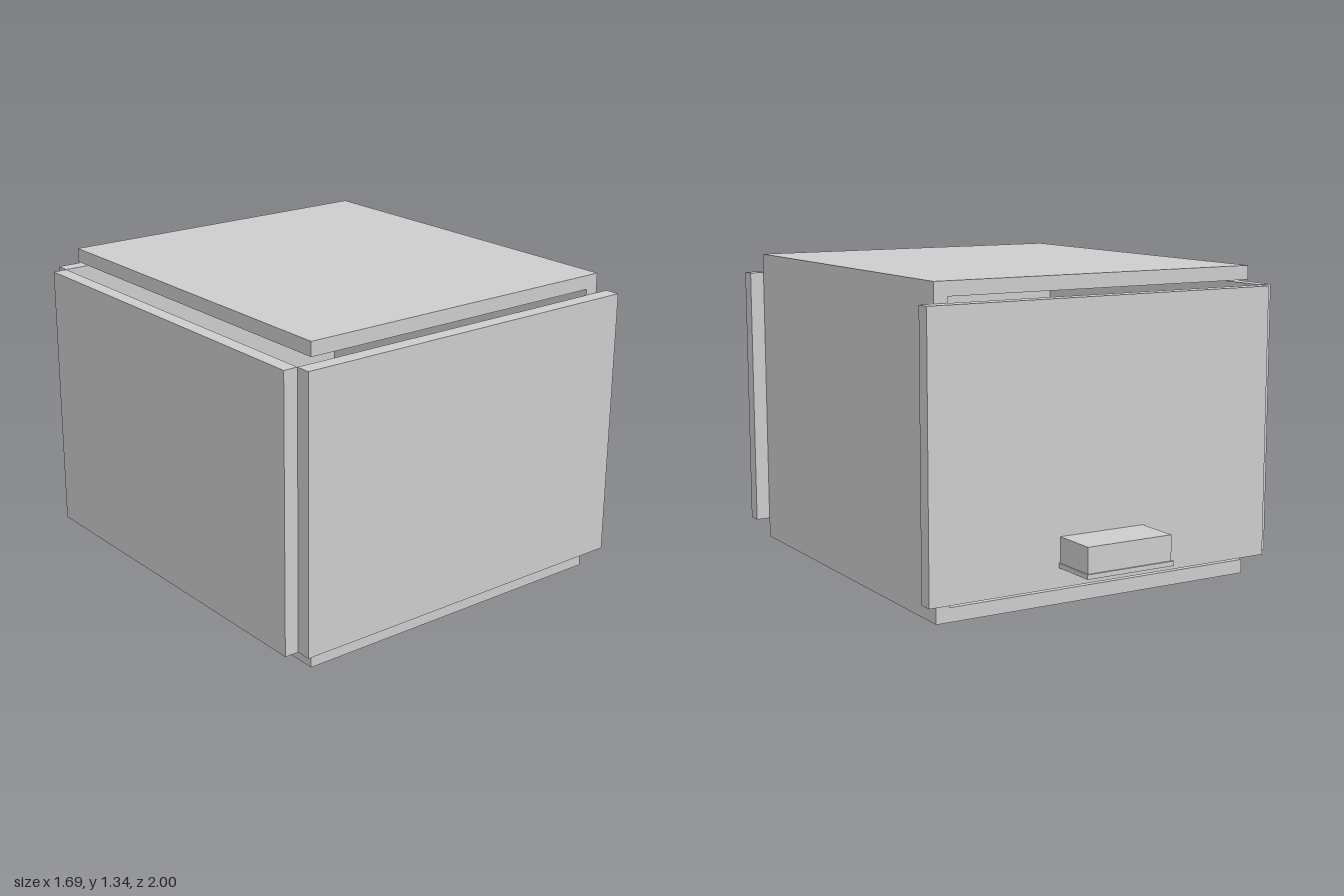
import * as THREE from 'three';

export function createModel() {
  const model = new THREE.Group();
  const grey = new THREE.MeshStandardMaterial({ color: 0xcccccc });
  grey.name = 'light grey';

  // Box given by its low and high limits on each axis
  function slab(name, [x0, x1], [y0, y1], [z0, z1]) {
    const mesh = new THREE.Mesh(new THREE.BoxGeometry(x1 - x0, y1 - y0, z1 - z0), grey);
    mesh.position.set((x0 + x1) / 2, (y0 + y1) / 2, (z0 + z1) / 2);
    mesh.name = name;
    model.add(mesh);
  }

  // Roof, left wall and floor as one folded channel, open towards -x
  const t = 0.06, xa = -0.72, xb = 0.78, top = 1.335, zBack = -0.73, zFront = 0.935;
  const profile = new THREE.Shape([
    [xa, 0], [xb, 0], [xb, top], [xa, top],
    [xa, top - t], [xb - t, top - t], [xb - t, t], [xa, t],
  ].map(([x, y]) => new THREE.Vector2(x, y)));
  const channel = new THREE.Mesh(
    new THREE.ExtrudeGeometry(profile, { depth: zFront - zBack, bevelEnabled: false }), grey);
  channel.position.z = zBack;
  channel.name = 'roofWallFloorChannel';
  model.add(channel);

  // Separate wall panels standing just outside the channel
  const panelY = [0.088, 1.25];
  slab('frontPanel', [-0.783, 0.843], panelY, [zFront, 1]);
  slab('backPanel', [-0.783, 0.843], panelY, [-0.793, zBack]);
  slab('rightPanel', [-0.845, -0.783], panelY, [zBack, zFront]);

  // Small box on a thin shelf on the back panel
  slab('backBox', [-0.15, 0.25], [0.19, 0.298], [-0.993, -0.793]);
  slab('backShelf', [-0.16, 0.255], [0.17, 0.19], [-1, -0.793]);

  return model;
}
